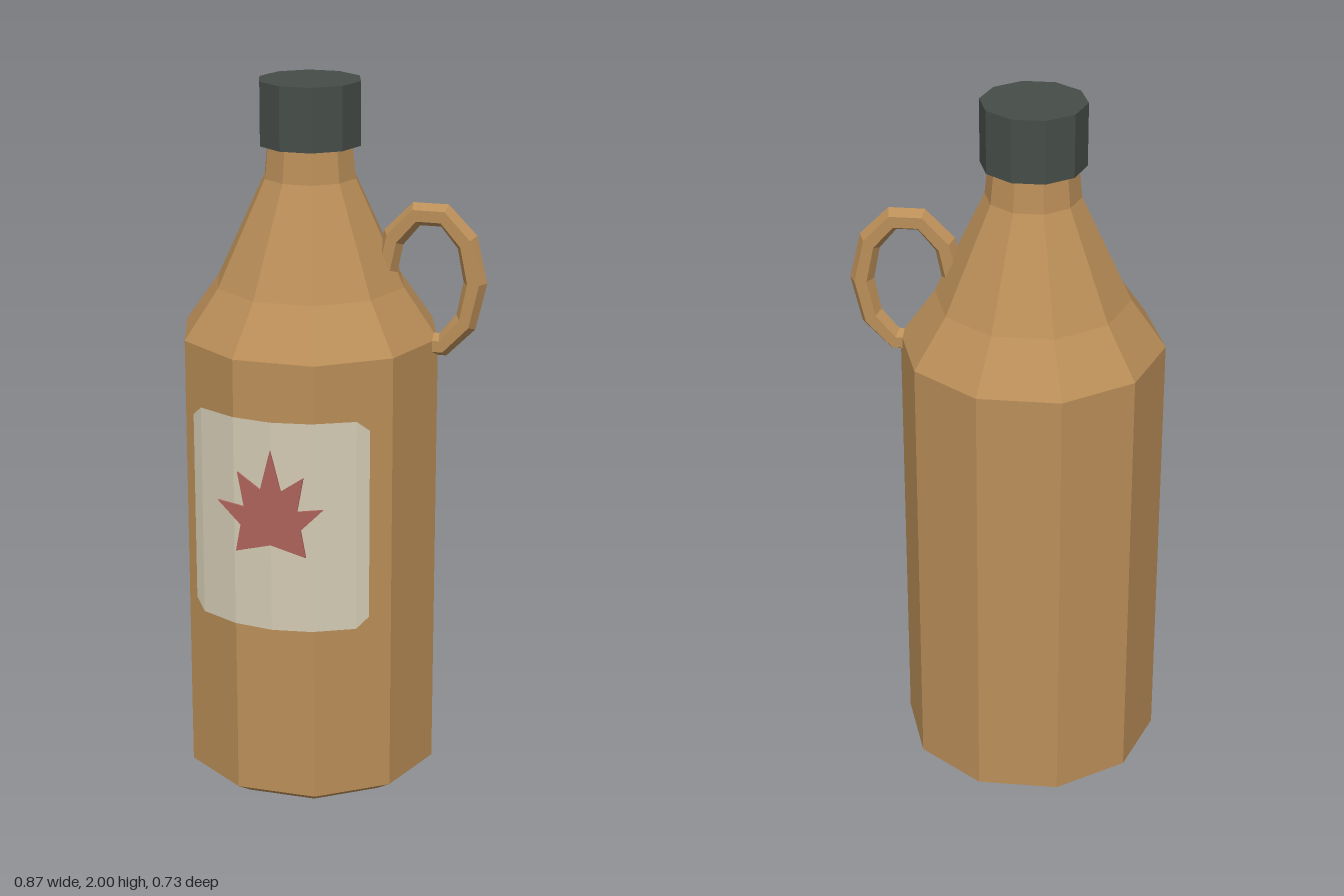
import * as THREE from 'three';

const CX = -0.07, CZ = -0.017; // axis of the bottle

function material(name, color) {
  const m = new THREE.MeshStandardMaterial({ color });
  m.name = name;
  return m;
}

// Gives every face its own normal for the faceted look
function faceted(geometry) {
  const g = geometry.index ? geometry.toNonIndexed() : geometry;
  g.computeVertexNormals();
  return g;
}

// Label: strips bent round the bottle, with cut corners
function labelGeometry() {
  const radius = 0.375, low = 0.545, high = 1.145, corner = 0.03;
  const xs = [-0.25, -0.22, -0.11, 0, 0.11, 0.22, 0.25];
  const positions = [], index = [];
  xs.forEach((x, i) => {
    const inset = i === 0 || i === xs.length - 1 ? corner : 0;
    const z = Math.sqrt(radius * radius - x * x);
    positions.push(x, low + inset, z, x, high - inset, z);
    if (i > 0) {
      const a = 2 * (i - 1);
      index.push(a, a + 2, a + 3, a, a + 3, a + 1);
    }
  });
  const g = new THREE.BufferGeometry();
  g.setAttribute('position', new THREE.Float32BufferAttribute(positions, 3));
  g.setIndex(index);
  return faceted(g);
}

// Leaf: right half of the outline, mirrored to the left
function leafGeometry() {
  const half = [[0, 0.796], [0.099, 0.77], [0.085, 0.847], [0.149, 0.913], [0.075, 0.9],
    [0.093, 0.998], [0.029, 0.953], [0, 1.067]];
  const left = half.slice(1, -1).reverse().map(([x, y]) => [-x, y]);
  const shape = new THREE.Shape([...half, ...left].map(([x, y]) => new THREE.Vector2(x, y)));
  return new THREE.ExtrudeGeometry(shape, { depth: 0.006, bevelEnabled: false });
}

// Handle: six-sided ring made taller without thickening the tube
function handleGeometry() {
  const g = new THREE.TorusGeometry(0.127, 0.033, 6, 10);
  const p = g.attributes.position;
  for (let i = 0; i < p.count; i++) {
    const angle = Math.atan2(p.getY(i), p.getX(i));
    p.setY(i, p.getY(i) + 0.063 * Math.sin(angle));
  }
  return faceted(g);
}

export function createModel() {
  const model = new THREE.Group();
  model.name = 'bottle';
  const brown = material('brown clay', 0xba8e58);
  const grey = material('dark grey', 0x464d48);
  const cream = material('cream paper', 0xd3cab3);
  const red = material('faded red', 0xae635b);
  cream.side = THREE.DoubleSide;

  const add = (name, geometry, mat, x = CX, y = 0, z = CZ) => {
    const mesh = new THREE.Mesh(geometry, mat);
    mesh.name = name;
    mesh.position.set(x, y, z);
    model.add(mesh);
  };

  // Ten-sided body with base chamfer, shoulder and neck
  const profile = [[0, 0], [0.31, 0], [0.365, 0.035], [0.365, 1.302], [0.268, 1.44],
    [0.13, 1.735], [0.12, 1.83], [0, 1.83]].map(([r, y]) => new THREE.Vector2(r, y));
  add('body', faceted(new THREE.LatheGeometry(profile, 10, Math.PI / 2)), brown);

  add('cap', faceted(new THREE.CylinderGeometry(0.143, 0.143, 0.175, 10, 1, false, Math.PI / 2)), grey, CX, 1.9125);
  add('handle', handleGeometry(), brown, 0.27, 1.468);
  add('label', labelGeometry(), cream);
  add('leaf', leafGeometry(), red, CX, 0, 0.357);
  return model;
}
